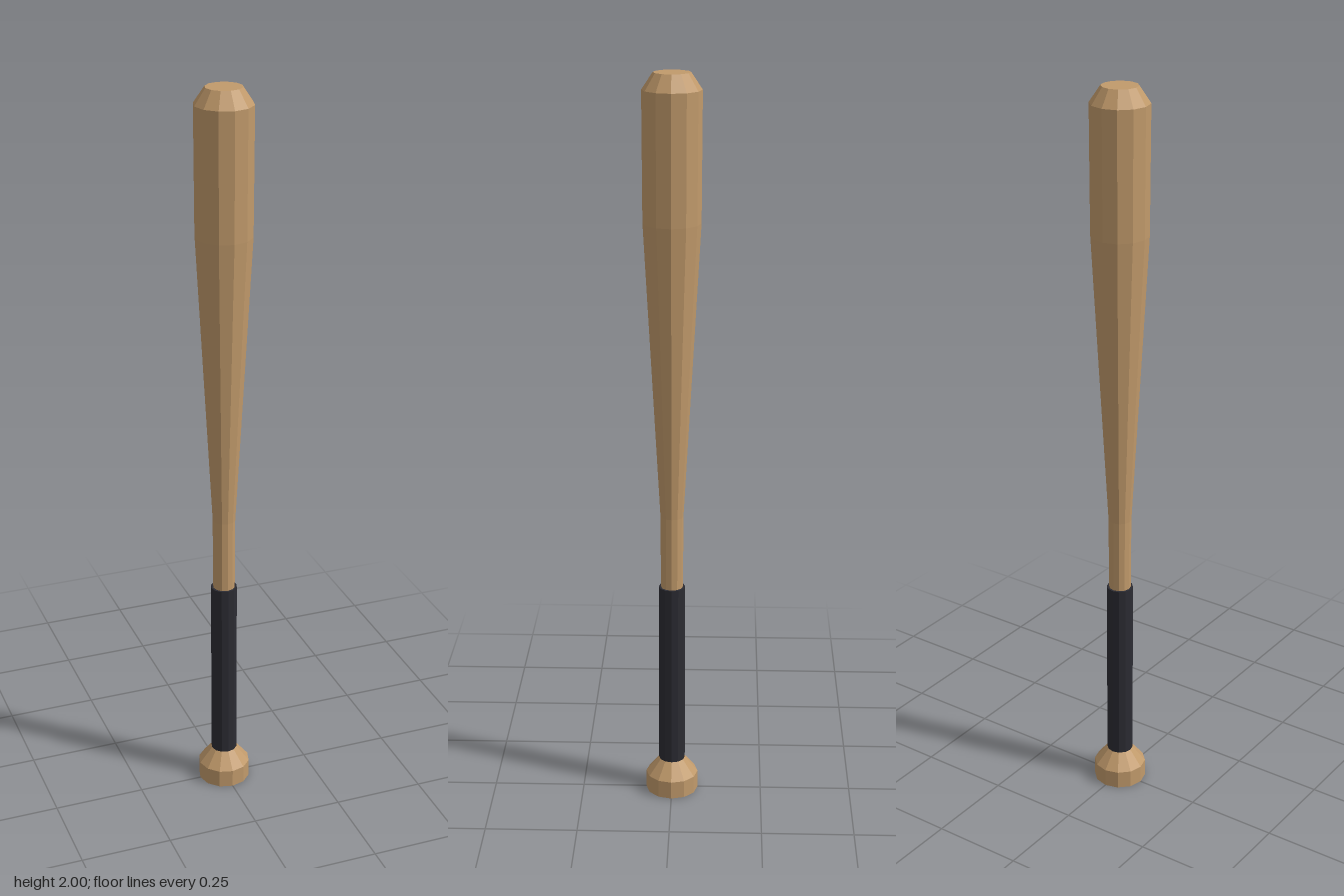
import * as THREE from 'three';

const SIDES = 12;

export function createModel() {
  const bat = new THREE.Group();
  bat.name = 'bat';

  const wood = new THREE.MeshStandardMaterial({ color: 0xc19a6b });
  wood.name = 'wood';
  const wrap = new THREE.MeshStandardMaterial({ color: 0x2b2b32 });
  wrap.name = 'dark grip wrap';
  wood.flatShading = wrap.flatShading = true;

  // Turned part from [radius, height] pairs, listed bottom to top
  const turned = (name, profile, material) => {
    const points = profile.map(([r, y]) => new THREE.Vector2(r, y));
    const mesh = new THREE.Mesh(new THREE.LatheGeometry(points, SIDES), material);
    mesh.name = name;
    bat.add(mesh);
  };

  // Flared end stop below the hand
  turned('knob', [[0, 0], [0.072, 0], [0.072, 0.05], [0.033, 0.098], [0, 0.098]], wood);

  // Wrapped handle
  turned('grip', [[0, 0.092], [0.036, 0.092], [0.036, 0.615], [0, 0.615]], wrap);

  // Bare handle, taper, barrel and bevelled tip
  turned('barrel', [
    [0.03, 0.6], [0.031, 0.82], [0.0755, 1.62], [0.077, 1.957], [0.048, 2], [0, 2],
  ], wood);

  return bat;
}
